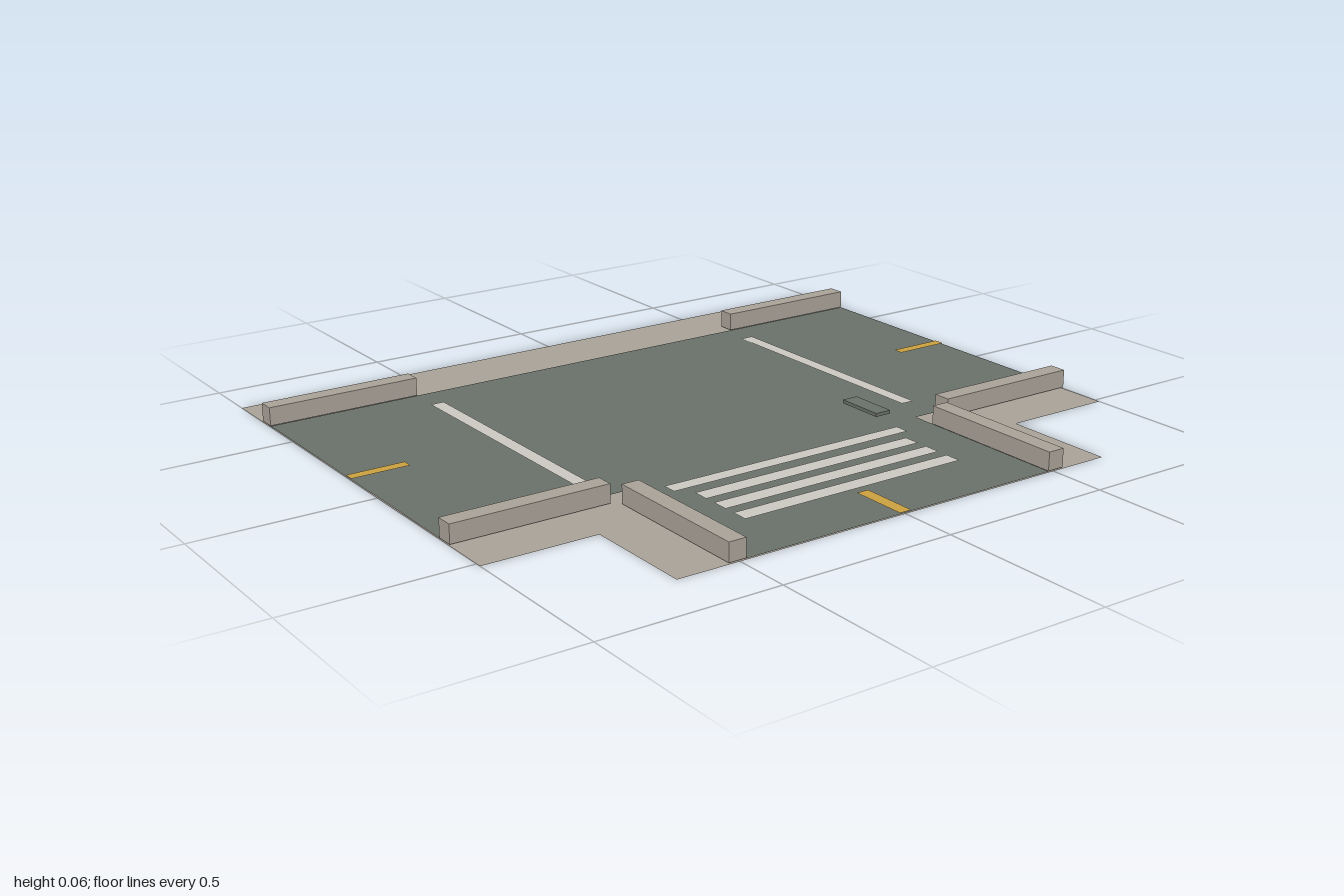
import * as THREE from 'three';

const material = (name, color) => {
  const m = new THREE.MeshStandardMaterial({ color, side: THREE.DoubleSide });
  m.name = name;
  return m;
};

export function createModel() {
  const paving = material('paving', 0xa8a196);
  const asphalt = material('asphalt', 0x696f69);
  const white = material('white paint', 0xcac6bf);
  const yellow = material('yellow paint', 0xc9a03f);

  const model = new THREE.Group();
  model.name = 'streetJunction';

  const add = (name, geometry, mat) => {
    const mesh = new THREE.Mesh(geometry, mat);
    mesh.name = name;
    model.add(mesh);
  };

  // Flat T-shaped sheet: a wide arm from zBack to zStep, and a stem to zFront
  const tSheet = (name, zBack, zStep, zFront, stem, y, mat) => {
    const outline = [[-1, zBack], [-1, zStep], [-stem, zStep], [-stem, zFront],
      [stem, zFront], [stem, zStep], [1, zStep], [1, zBack]];
    const shape = new THREE.Shape(outline.map(([x, z]) => new THREE.Vector2(x, -z)));
    add(name, new THREE.ShapeGeometry(shape).rotateX(-Math.PI / 2).translate(0, y, 0), mat);
  };

  // Flat rectangle of paint
  const paint = (name, x0, x1, z0, z1, mat) => add(name,
    new THREE.PlaneGeometry(x1 - x0, z1 - z0).rotateX(-Math.PI / 2)
      .translate((x0 + x1) / 2, 0.006, (z0 + z1) / 2), mat);

  const block = (name, x0, x1, y0, y1, z0, z1, mat) => add(name,
    new THREE.BoxGeometry(x1 - x0, y1 - y0, z1 - z0)
      .translate((x0 + x1) / 2, (y0 + y1) / 2, (z0 + z1) / 2), mat);

  // Ground and road surface
  tSheet('pavement', -0.838, 0.516, 0.838, 0.677, 0, paving);
  tSheet('road', -0.642, 0.322, 0.838, 0.483, 0.003, asphalt);

  // Kerbs, stop lines and centre dashes on both sides
  for (const [side, s] of [['left', 1], ['right', -1]]) {
    const span = (a, b) => (s > 0 ? [a, b] : [-b, -a]);
    const kerb = (name, x, z0, z1) => block(side + name, ...span(...x), 0.004, 0.056, z0, z1, paving);
    kerb('BackKerb', [0.553, 1], -0.692, -0.642);
    kerb('FrontKerb', [0.553, 1], 0.322, 0.373);
    kerb('StemKerb', [0.482, 0.532], 0.392, 0.838);
    paint(side + 'StopLine', ...span(0.522, 0.562), -0.542, 0.219, white);
    paint(side + 'CentreDash', ...span(0.833, 1), -0.177, -0.145, yellow);
  }

  // Stop line, crossing stripes and centre dash on the stem
  paint('stemStopLine', -0.383, 0.383, 0.358, 0.402, white);
  for (let i = 0; i < 3; i++) {
    const z = 0.439 + i * 0.081;
    paint('crossingStripe', -0.346, 0.346, z, z + 0.049, white);
  }
  paint('stemCentreDash', -0.018, 0.018, 0.674, 0.838, yellow);

  // Drain cover by the corner
  block('drainCover', 0.348, 0.397, 0.028, 0.038, 0.169, 0.312, asphalt);

  return model;
}
